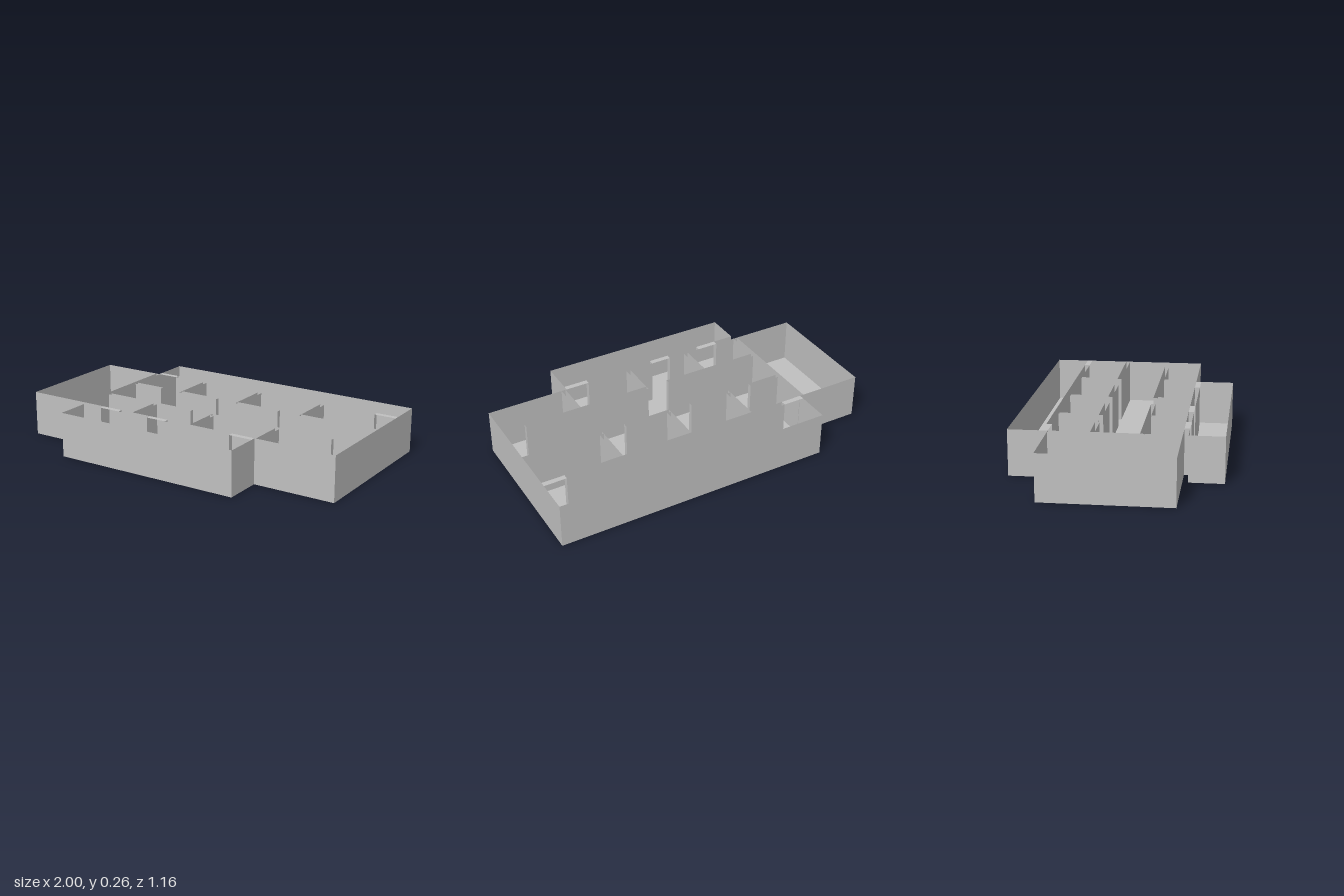
import * as THREE from 'three';

const H = 0.26; // wall height
const T = 0.025; // thickness of the inner walls

export function createModel() {
  const model = new THREE.Group();
  const plaster = new THREE.MeshStandardMaterial({ color: 0xc0c0c0, side: THREE.DoubleSide });
  plaster.name = 'grey plaster';

  // Upright sheet between two points of the plan
  function sheet(name, x0, z0, x1, z1, parent = model) {
    const mesh = new THREE.Mesh(new THREE.PlaneGeometry(Math.hypot(x1 - x0, z1 - z0), H), plaster);
    mesh.position.set((x0 + x1) / 2, H / 2, (z0 + z1) / 2);
    mesh.rotation.y = -Math.atan2(z1 - z0, x1 - x0);
    mesh.name = name;
    parent.add(mesh);
  }

  // Level slab, facing up or down, seen from both sides
  function slab(name, x0, z0, x1, z1, y = 0) {
    const mesh = new THREE.Mesh(new THREE.PlaneGeometry(x1 - x0, z1 - z0), plaster);
    mesh.rotation.x = -Math.PI / 2;
    mesh.position.set((x0 + x1) / 2, y, (z0 + z1) / 2);
    mesh.name = name;
    model.add(mesh);
  }

  // Straight wall along x, broken by the door openings
  function brokenWall(name, x0, x1, z, doors) {
    let start = x0;
    for (const [a, b] of doors) {
      if (a - start > 0.001) sheet(name, start, z, a, z);
      start = b;
    }
    if (x1 - start > 0.001) sheet(name, start, z, x1, z);
  }

  // Hollow inner wall with an open top
  function innerWall(x0, z0, x1, z1) {
    const wall = new THREE.Group();
    wall.name = 'innerWall';
    sheet('wallFace', x0, z0, x1, z0, wall);
    sheet('wallFace', x0, z1, x1, z1, wall);
    sheet('wallEnd', x0, z0, x0, z1, wall);
    sheet('wallEnd', x1, z0, x1, z1, wall);
    model.add(wall);
  }

  const zBack = -0.36, zFront = 0.355, xWest = -0.61;
  const backDoors = [[xWest, -0.485], [0.87, 1]];
  const frontDoors = [[-0.485, -0.36], [-0.16, -0.04], [0.38, 0.52]];

  // Main block
  slab('mainFloor', -1, zBack, 1, zFront);
  sheet('mainLeftWall', 1, zBack, 1, zFront);
  sheet('mainRightWall', -1, zBack, -1, zFront);
  brokenWall('mainBackWall', -1, 1, zBack, backDoors);
  brokenWall('mainFrontWall', -1, 1, zFront, frontDoors);

  // Balconies, each joined to the main block through its doorways
  const balconies = [
    { side: 'back', x1: 1, inner: -0.39, outer: -0.58, main: zBack, doors: backDoors },
    { side: 'front', x1: 0.52, inner: 0.385, outer: 0.58, main: zFront, doors: frontDoors },
  ];
  for (const { side, x1, inner, outer, main, doors } of balconies) {
    slab(side + 'BalconyFloor', xWest, Math.min(inner, outer), x1, Math.max(inner, outer));
    sheet(side + 'BalconyOuterWall', xWest, outer, x1, outer);
    sheet(side + 'BalconyRightWall', xWest, inner, xWest, outer);
    sheet(side + 'BalconyLeftWall', x1, inner, x1, outer);
    brokenWall(side + 'BalconyInnerWall', xWest, x1, inner, doors);
    for (const [a, b] of doors) {
      const lo = Math.min(main, inner), hi = Math.max(main, inner);
      slab('doorSill', a, lo, b, hi);
      slab('doorHead', a, lo, b, hi, H);
      sheet('doorJamb', a, lo, a, hi);
      sheet('doorJamb', b, lo, b, hi);
    }
  }

  // Inner walls running across the block: [x, z from, z to]
  const zb = -0.135, zf = 0.13;
  for (const [x, z0, z1] of [
    [-0.62, zBack, zFront],
    [-0.27, zBack, zb], [0.12, zBack, zb], [0.54, zBack, zb],
    [-0.27, zf + T, zFront], [0.12, zf + T, zFront], [0.54, zf + T, zFront],
  ]) innerWall(x - T / 2, z0, x + T / 2, z1);

  // Inner walls running along the block: [x from, x to, z]
  for (const [x0, x1, z] of [
    [-0.608, -0.42, zb], [-0.282, -0.025, zb], [0.108, 0.39, zb], [0.528, 1, zb],
    [-0.608, -0.025, zf], [0.108, 0.87, zf],
  ]) innerWall(x0, z, x1, z + T);

  return model;
}
